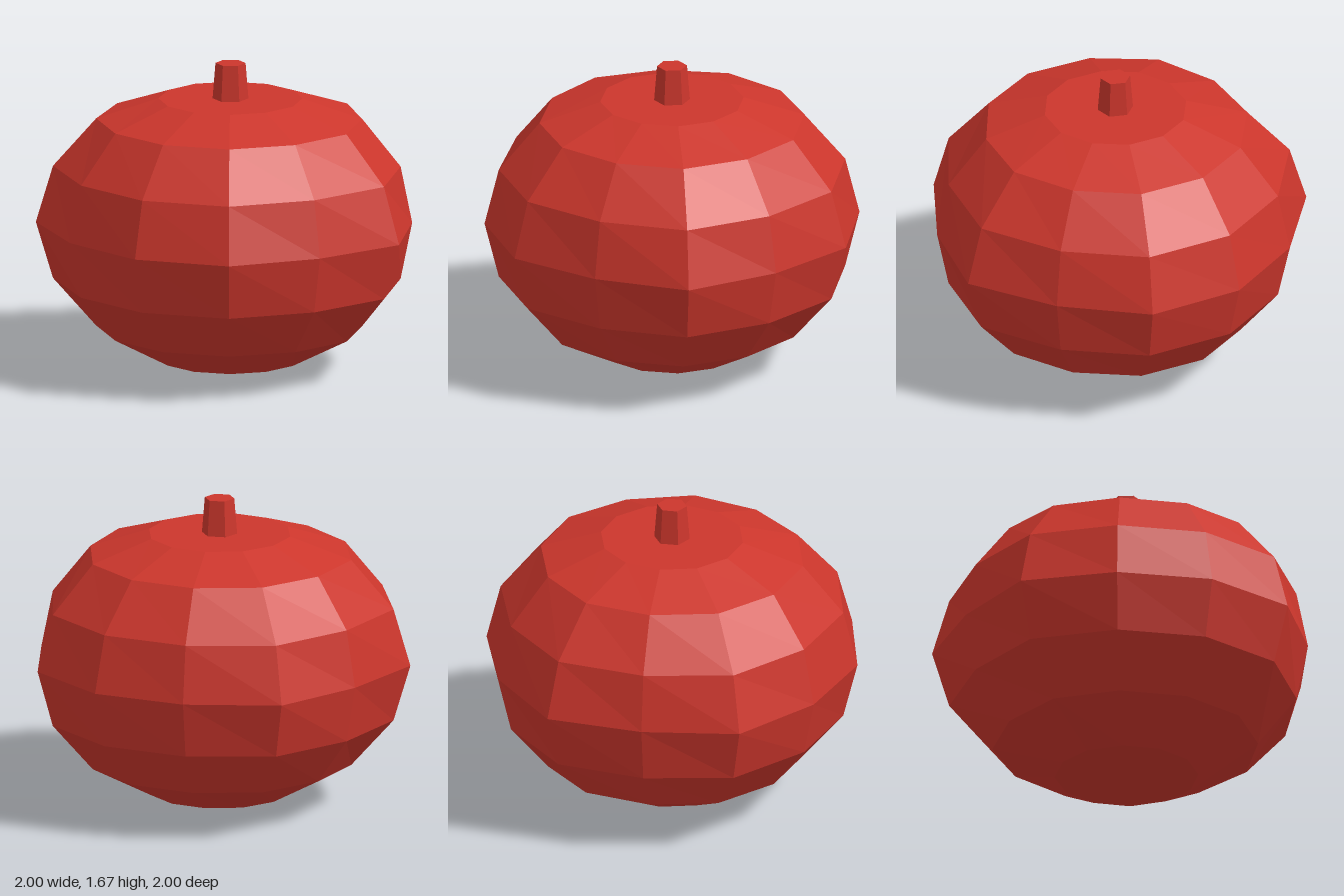
import * as THREE from 'three';

export function createModel() {
  const group = new THREE.Group();
  const red = new THREE.MeshStandardMaterial({ color: 0xcc362c, flatShading: true });
  const halfHeight = 0.8;
  const centerX = -0.04;

  // Body: low-poly squashed sphere with five soft lobes and a flattened crown
  const bodyGeometry = new THREE.SphereGeometry(1, 12, 8);
  const p = bodyGeometry.attributes.position;
  for (let i = 0; i < p.count; i++) {
    const x = p.getX(i), y = p.getY(i), z = p.getZ(i);
    // Lobes are deepest at the equator and fade towards the poles
    const lobe = 1 + 0.04 * Math.cos(5 * Math.atan2(z, x)) * (1 - Math.abs(y));
    p.setXYZ(i, x * lobe, Math.min(y, 0.846) * halfHeight, z * lobe);
  }
  bodyGeometry.computeVertexNormals();
  const body = new THREE.Mesh(bodyGeometry, red);
  body.name = 'body';
  body.position.set(centerX, halfHeight, 0);
  group.add(body);

  // Stem: tapered hexagonal stub set into the crown
  const stemBottom = 1.42, stemTop = 1.67;
  const stem = new THREE.Mesh(
    new THREE.CylinderGeometry(0.08, 0.1, stemTop - stemBottom, 6), red);
  stem.name = 'stem';
  stem.position.set(centerX, (stemBottom + stemTop) / 2, 0);
  group.add(stem);

  return group;
}
